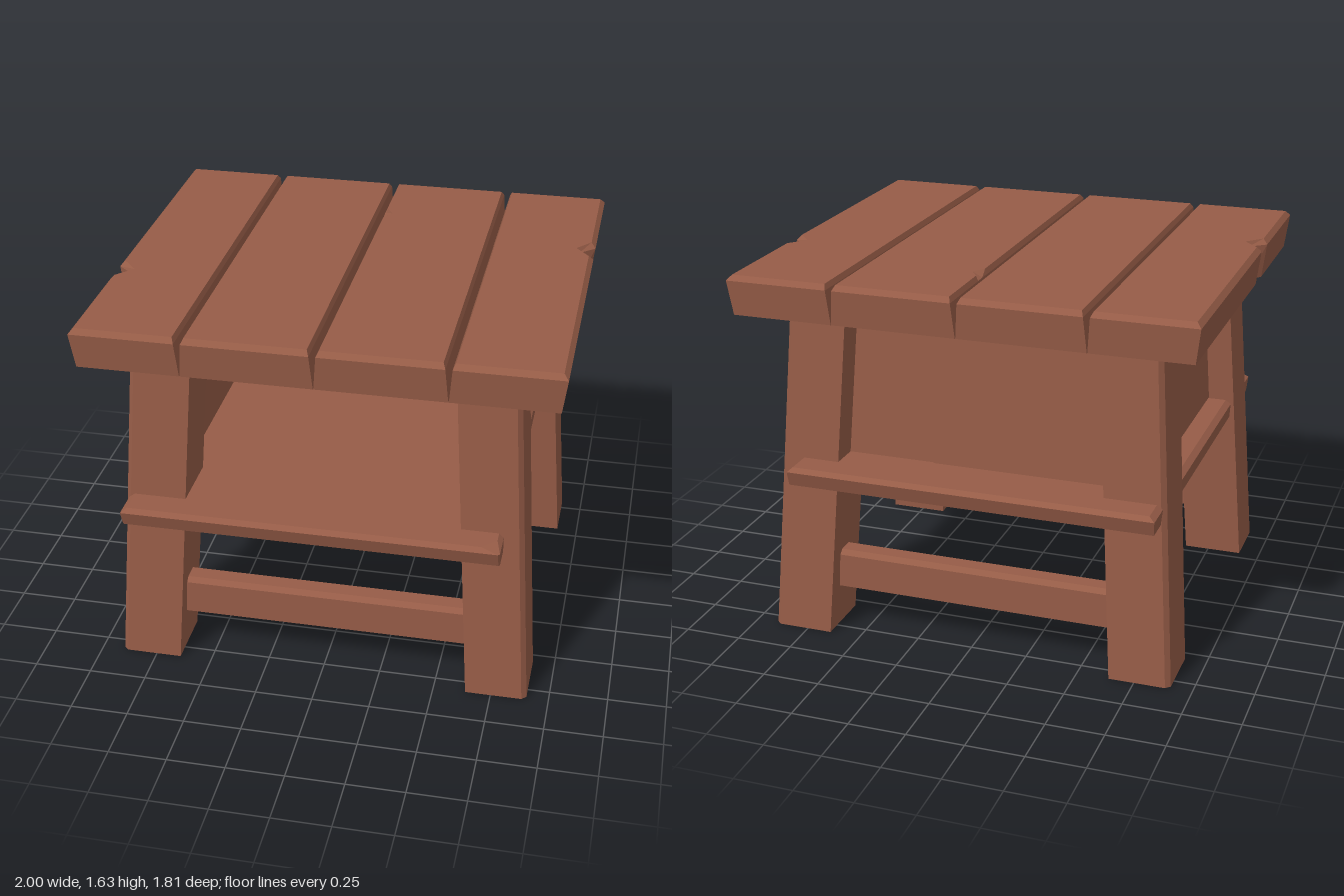
import * as THREE from 'three';

// Solid lofted through horizontal rings: [{ y, pts: [[x, z], ...] }, ...] from bottom to top
function loft(rings) {
  const area = THREE.ShapeUtils.area(rings[0].pts.map(([x, z]) => new THREE.Vector2(x, z)));
  const loops = rings.map(({ y, pts }) => {
    const loop = pts.map(([x, z]) => new THREE.Vector3(x, y, z));
    return area < 0 ? loop.reverse() : loop;
  });
  const verts = [];
  const tri = (a, b, c) => verts.push(...a.toArray(), ...b.toArray(), ...c.toArray());
  for (let k = 0; k < loops.length - 1; k++) {
    const lo = loops[k], hi = loops[k + 1];
    lo.forEach((a, i) => {
      const j = (i + 1) % lo.length;
      tri(a, hi[i], lo[j]);
      tri(lo[j], hi[i], hi[j]);
    });
  }
  const cap = (loop, up) => {
    const flat = loop.map(p => new THREE.Vector2(p.x, p.z));
    for (const [a, b, c] of THREE.ShapeUtils.triangulateShape(flat, [])) {
      if (up) tri(loop[a], loop[c], loop[b]);
      else tri(loop[a], loop[b], loop[c]);
    }
  };
  cap(loops[0], false);
  cap(loops[loops.length - 1], true);
  const geo = new THREE.BufferGeometry();
  geo.setAttribute('position', new THREE.Float32BufferAttribute(verts, 3));
  geo.computeVertexNormals();
  return geo;
}

const rect = (x0, x1, z0, z1) => [[x0, z0], [x1, z0], [x1, z1], [x0, z1]];

export function createModel() {
  const group = new THREE.Group();
  group.name = 'sideTable';
  const wood = new THREE.MeshStandardMaterial({ color: 0x965c47, flatShading: true });
  wood.name = 'brown wood';
  const add = (name, rings) => {
    const mesh = new THREE.Mesh(loft(rings), wood);
    mesh.name = name;
    group.add(mesh);
  };

  // Tabletop planks: V grooves between them, bevelled rim, notches and a chip in the edges
  const seams = [-1, -0.548, 0, 0.54, 1];
  const levels = [
    { y: 1.46, z: 0.89, rim: 0.02, gap: 0.001, wide: 0, chip: 0 },
    { y: 1.61, z: 0.905, rim: 0, gap: 0.014, wide: 0, chip: 0.002 },
    { y: 1.632, z: 0.885, rim: 0.02, gap: 0.024, wide: 0.015, chip: 0.035 },
  ];
  for (let i = 0; i < 4; i++) {
    add('topPlank' + (i + 1), levels.map(({ y, z, rim, gap, wide, chip }) => {
      const x0 = seams[i] + (i === 0 ? rim : gap);
      const x1 = seams[i + 1] - (i === 3 ? rim : gap);
      const pts = [[x0, -z], [x1, -z]];
      if (i === 3) pts.push([x1, -0.36 - wide], [0.935 - wide, -0.3], [x1, -0.24 + wide]);
      pts.push([x1, z], [x0, z]);
      if (i === 0) pts.push([x0, 0.355 + wide], [-0.93 + wide, 0.295], [x0, 0.235 - wide]);
      if (i === 2) pts.push([x0, -0.47], [x0 + chip, -0.525], [x0, -0.58]);
      return { y, pts };
    }));
  }

  // Four splayed legs with a chamfered outer corner
  const c = 0.02;
  for (const [side, sx] of [['Left', 1], ['Right', -1]]) {
    for (const [end, sz] of [['front', 1], ['back', -1]]) {
      const section = (y, xi, xo, zi, zo) => ({
        y,
        pts: [[xi, zi], [xo, zi], [xo, zo - c], [xo - c, zo], [xi, zo]].map(([x, z]) => [x * sx, z * sz]),
      });
      add(end + side + 'Leg', [
        section(0, 0.64, 0.905, 0.55, 0.82),
        section(1.465, 0.55, 0.81, 0.46, 0.73),
      ]);
    }
  }

  // Shelf board running out past the legs, with one worn front corner
  const shelfRing = (y, x0, x1, z, worn) => ({
    y, pts: [[x0, -z], [x1, -z], [x1, z - worn], [x1 - worn, z], [x0, z]],
  });
  add('shelf', [
    shelfRing(0.72, -0.835, 0.77, 0.885, 0.005),
    shelfRing(0.785, -0.84, 0.77, 0.905, 0.008),
    shelfRing(0.803, -0.815, 0.75, 0.885, 0.06),
  ]);

  // Side panels leaning with the legs
  for (const [name, s] of [['leftPanel', 1], ['rightPanel', -1]]) {
    add(name, [
      { y: 0.808, pts: rect(0.66 * s, 0.735 * s, -0.6, 0.6) },
      { y: 1.44, pts: rect(0.625 * s, 0.7 * s, -0.58, 0.58) },
    ]);
  }

  // Back panel of two boards, the narrow one set slightly deeper
  for (const [name, x0, x1, d] of [['backPanelWide', -0.66, 0.2, 0], ['backPanelNarrow', 0.2, 0.66, 0.008]]) {
    add(name, [
      { y: 0.803, pts: rect(x0, x1, -0.65 + d, -0.58 + d) },
      { y: 1.44, pts: rect(x0, x1, -0.61 + d, -0.54 + d) },
    ]);
  }

  // Low stretchers between the legs at front and back
  for (const [name, s] of [['frontStretcher', 1], ['backStretcher', -1]]) {
    add(name, [
      { y: 0.19, pts: rect(-0.68, 0.68, 0.62 * s, 0.73 * s) },
      { y: 0.342, pts: rect(-0.68, 0.68, 0.62 * s, 0.73 * s) },
      { y: 0.362, pts: rect(-0.68, 0.68, 0.64 * s, 0.71 * s) },
    ]);
  }

  return group;
}
